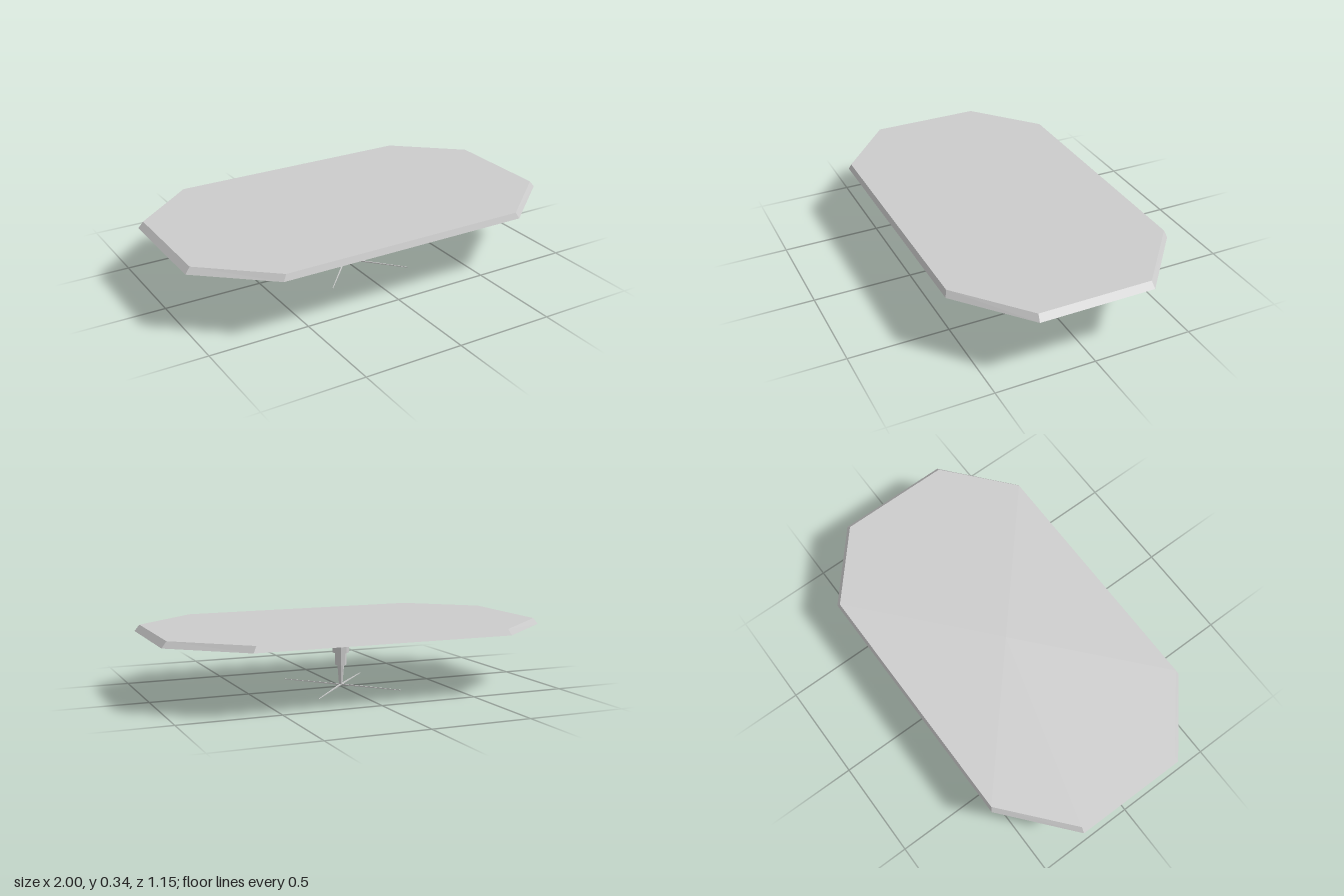
import * as THREE from 'three';

const grey = new THREE.MeshStandardMaterial({ color: 0xcccccc, flatShading: true });

function add(group, name, geometry) {
  const mesh = new THREE.Mesh(geometry, grey);
  mesh.name = name;
  group.add(mesh);
  return mesh;
}

// Stretched octagon with half sizes hx, hz at height y
function octagon([y, hx, hz]) {
  const cx = hx * 0.66, cz = hz * 0.5;
  return [[hx, -cz], [hx, cz], [cx, hz], [-cx, hz], [-hx, cz], [-hx, -cz], [-cx, -hz], [cx, -hz]]
    .map(([x, z]) => [x, y, z]);
}

// Skin through octagons [y, hx, hz], listed from the bottom up the outside
function loft(levels) {
  const rings = levels.map(octagon);
  const p = [];
  for (let k = 0; k < rings.length - 1; k++) {
    const low = rings[k], high = rings[k + 1];
    for (let i = 0; i < 8; i++) {
      const j = (i + 1) % 8;
      p.push(low[i], high[i], high[j], low[i], high[j], low[j]);
    }
  }
  const geometry = new THREE.BufferGeometry();
  geometry.setAttribute('position', new THREE.Float32BufferAttribute(p.flat(), 3));
  geometry.computeVertexNormals();
  return geometry;
}

// Closed solid between two octagons
const tier = (low, high) => loft([[low[0], 0, 0], low, high, [high[0], 0, 0]]);

// Eight-sided post section with flats facing the front
function post(rTop, rBottom, y0, y1) {
  const k = 1 / Math.cos(Math.PI / 8);
  return new THREE.CylinderGeometry(rTop * k, rBottom * k, y1 - y0, 8)
    .rotateY(Math.PI / 8)
    .translate(0, (y0 + y1) / 2, 0);
}

export function createModel() {
  const model = new THREE.Group();
  model.name = 'pedestalTable';

  // Top, with a hollow rim beneath it
  add(model, 'tableTop', tier([0.309, 1, 0.577], [0.34, 0.975, 0.567]));
  add(model, 'underRim', loft([[0.309, 0.7, 0.34], [0.276, 0.7, 0.34], [0.276, 0.75, 0.37], [0.309, 0.8, 0.41]]));

  // Stepped mount rising into the hollow
  add(model, 'mountPlate', tier([0.261, 0.21, 0.086], [0.309, 0.285, 0.122]));
  add(model, 'mountBlock', tier([0.227, 0.137, 0.037], [0.261, 0.178, 0.06]));

  // Stem narrowing towards the floor
  add(model, 'upperStem', post(0.039, 0.039, 0.179, 0.227));
  add(model, 'middleStem', post(0.027, 0.027, 0.114, 0.179));
  add(model, 'lowerStem', post(0.016, 0.008, 0.008, 0.114));

  // Four thin feet spread in a cross
  const hub = new THREE.Vector3(0, 0.011, 0);
  const tips = [[-0.222, 0.011, 0.25], [0.222, 0.011, 0.25], [0.222, 0.003, -0.25], [-0.222, 0.01, -0.25]];
  for (const tip of tips) {
    const span = new THREE.Vector3(...tip).sub(hub);
    const length = span.length();
    const foot = add(model, 'foot',
      new THREE.CylinderGeometry(0.002, 0.005, length, 4).translate(0, length / 2, 0));
    foot.position.copy(hub);
    foot.quaternion.setFromUnitVectors(new THREE.Vector3(0, 1, 0), span.normalize());
  }
  return model;
}
